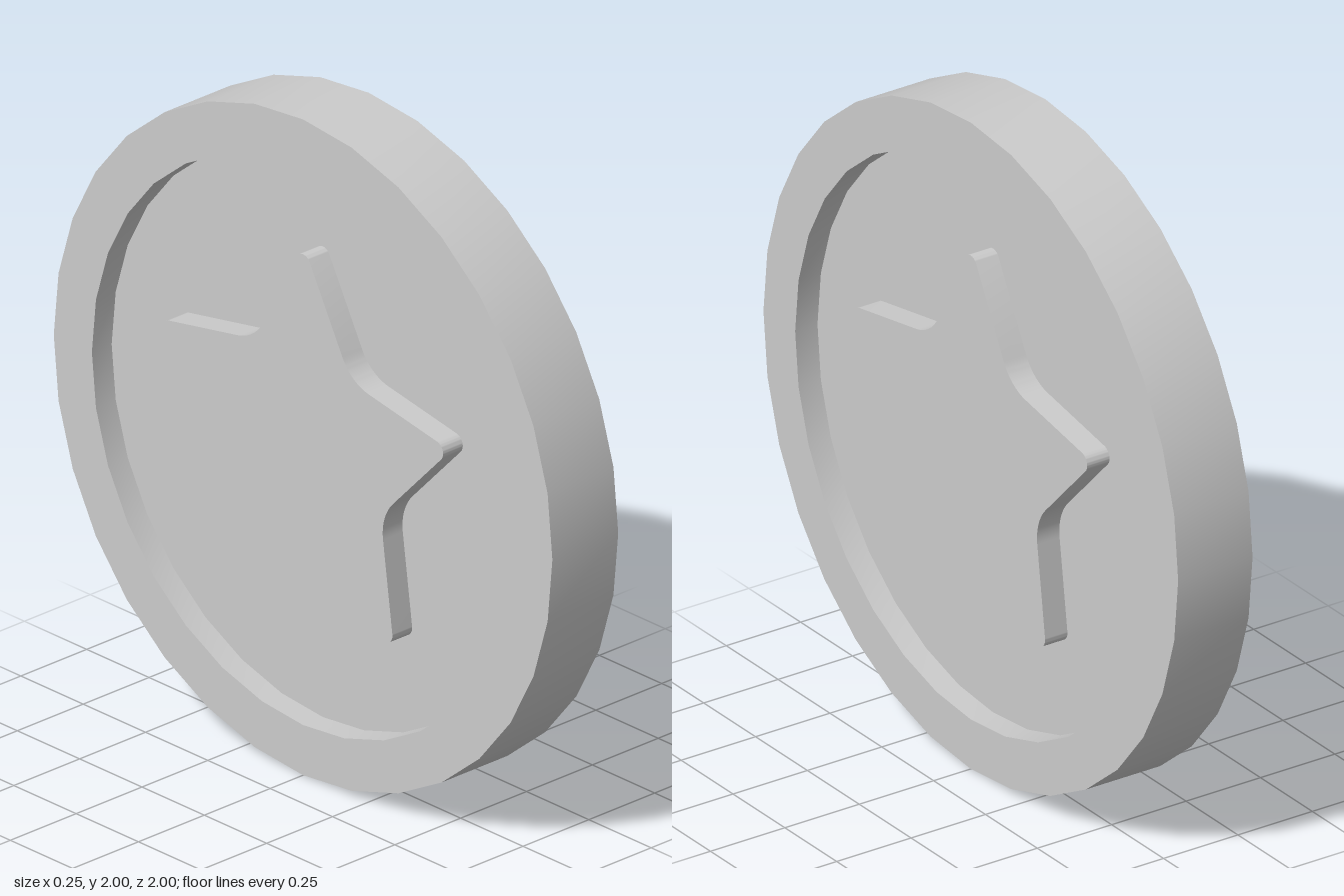
import * as THREE from 'three';
import { toCreasedNormals } from 'three/addons/utils/BufferGeometryUtils.js';

const HALF = 0.125;   // half thickness of the rim
const FLOOR = 0.05;   // half thickness of the recessed disc
const INNER = 0.847;  // inner radius of the rim

// Five-pointed star with rounded tips and softly filleted valleys
function starShape() {
  const tipR = 0.622, valleyR = 0.327, tipFillet = 0.03, valleyFillet = 0.15;
  const step = Math.PI / 5;
  const tipHalf = Math.atan2(valleyR * Math.sin(step), tipR - valleyR * Math.cos(step));
  const valleyHalf = tipHalf + step;
  const tipC = tipR - tipFillet / Math.sin(tipHalf);
  const valleyC = valleyR + valleyFillet / Math.sin(valleyHalf);
  const tipSweep = Math.PI / 2 - tipHalf, valleySweep = Math.PI / 2 - valleyHalf;

  const shape = new THREE.Shape();
  for (let i = 0; i < 5; i++) {
    const a = Math.PI / 2 + i * 2 * step, b = a + step;
    shape.absarc(tipC * Math.cos(a), tipC * Math.sin(a), tipFillet,
      a - tipSweep, a + tipSweep, false);
    shape.absarc(valleyC * Math.cos(b), valleyC * Math.sin(b), valleyFillet,
      b + Math.PI + valleySweep, b + Math.PI - valleySweep, true);
  }
  shape.closePath();
  return shape;
}

export function createModel() {
  const group = new THREE.Group();
  group.name = 'starCoin';
  const material = new THREE.MeshStandardMaterial({ color: 0xcccccc });

  // Disc with a raised rim on both faces, its axis laid along x
  const profile = [
    [0, -FLOOR], [INNER, -FLOOR], [INNER, -HALF], [1, -HALF],
    [1, HALF], [INNER, HALF], [INNER, FLOOR], [0, FLOOR],
  ].map(([r, y]) => new THREE.Vector2(r, y));
  const discGeometry = new THREE.LatheGeometry(profile, 32);
  discGeometry.rotateZ(Math.PI / 2);
  const disc = new THREE.Mesh(toCreasedNormals(discGeometry, 0.6), material);
  disc.name = 'rimmedDisc';
  disc.position.y = 1;
  group.add(disc);

  // Star passing through the disc, level with the rim on both faces
  const starGeometry = new THREE.ExtrudeGeometry(starShape(), {
    depth: 2 * HALF, bevelEnabled: false, curveSegments: 8,
  });
  starGeometry.translate(0, 0, -HALF);
  starGeometry.rotateY(Math.PI / 2);
  const star = new THREE.Mesh(toCreasedNormals(starGeometry, 0.6), material);
  star.name = 'star';
  star.position.y = 1;
  group.add(star);

  return group;
}
